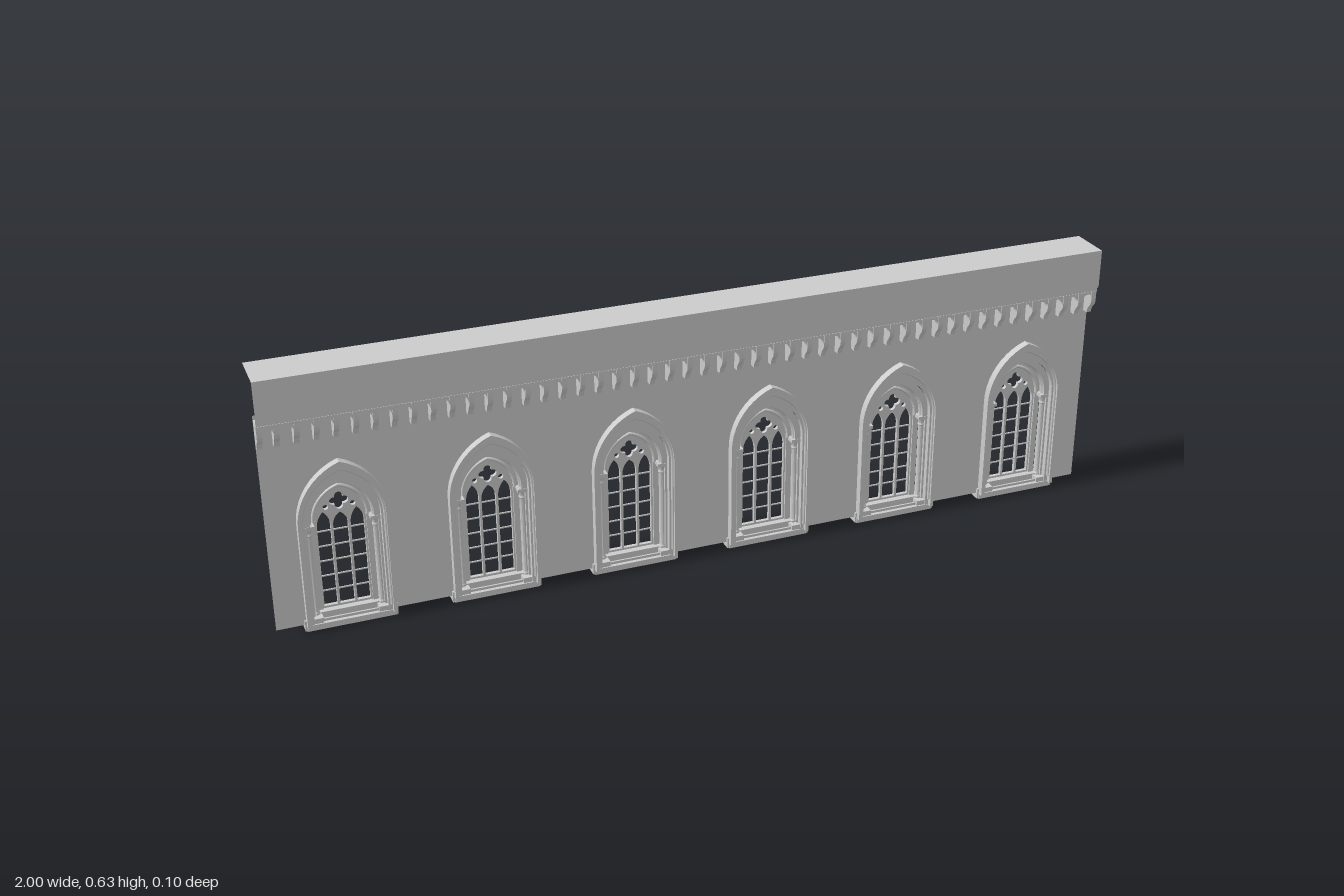
import * as THREE from 'three';
import { toCreasedNormals } from 'three/addons/utils/BufferGeometryUtils.js';

const stone = new THREE.MeshStandardMaterial({ color: 0xcccccc });
const sheet = new THREE.MeshStandardMaterial({ color: 0xcccccc, side: THREE.DoubleSide });

function add(parent, name, geometry, x = 0, y = 0, z = 0, material = stone) {
  const mesh = new THREE.Mesh(geometry, material);
  mesh.name = name;
  mesh.position.set(x, y, z);
  parent.add(mesh);
  return mesh;
}

// Points of a pointed arch with legs, from right foot over the peak to left foot
function archPoints(w, spring, peak, foot, cx = 0, n = 10) {
  const rise = peak - spring;
  const R = (rise * rise + w * w) / (2 * w);
  const end = Math.atan2(rise, R - w);
  const right = [[w, foot]];
  for (let i = 0; i <= n; i++) {
    const a = (end * i) / n;
    right.push([w - R + R * Math.cos(a), spring + R * Math.sin(a)]);
  }
  const left = right.slice(0, -1).reverse().map(([x, y]) => [-x, y]);
  return [...right, ...left].map(([x, y]) => new THREE.Vector2(x + cx, y));
}

function extrude(shape, zBack, zFront) {
  const g = new THREE.ExtrudeGeometry(shape, { depth: zFront - zBack, bevelEnabled: false, curveSegments: 6 });
  g.translate(0, 0, zBack);
  return toCreasedNormals(g, 0.6);
}

// Arched band between an outer and an inner [halfWidth, peak]
function archBand(outer, inner, spring, foot, zBack, zFront) {
  const points = [
    ...archPoints(outer[0], spring, outer[1], foot),
    ...archPoints(inner[0], spring, inner[1], foot).reverse(),
  ];
  return extrude(new THREE.Shape(points), zBack, zFront);
}

// Round moulding that follows an arch
function archRoll(w, peak, spring, foot, z, radius) {
  const path = new THREE.CurvePath();
  const pts = archPoints(w, spring, peak, foot).map((p) => new THREE.Vector3(p.x, p.y, z));
  for (let i = 1; i < pts.length; i++) path.add(new THREE.LineCurve3(pts[i - 1], pts[i]));
  return new THREE.TubeGeometry(path, 44, radius, 8, false);
}

function traceryShape() {
  const shape = new THREE.Shape(archPoints(0.062, 0.25, 0.336, 0.025));
  // Three lights
  for (const [x, w, peak] of [[-0.037, 0.015, 0.268], [0, 0.0165, 0.262], [0.037, 0.015, 0.268]]) {
    shape.holes.push(new THREE.Path(archPoints(w, 0.232, peak, 0.034, x, 6)));
  }
  // Four-lobed eye
  const eye = [];
  for (let i = 0; i < 48; i++) {
    const a = (i / 48) * Math.PI * 2;
    const r = 0.0125 + 0.0085 * Math.abs(Math.cos(2 * a));
    eye.push(new THREE.Vector2(r * Math.cos(a), 0.29 + r * Math.sin(a)));
  }
  shape.holes.push(new THREE.Path(eye));
  // Small side eyes
  for (const s of [-1, 1]) {
    shape.holes.push(new THREE.Path().absarc(s * 0.03, 0.278, 0.006, 0, Math.PI * 2));
  }
  return shape;
}

// Shaft with moulded base and capital
function columnGeometry(r) {
  const profile = [
    [0, 0.004], [1.5, 0.004], [1.5, 0.022], [1.2, 0.026], [1.3, 0.03], [1, 0.034], [1, 0.222],
    [1.25, 0.225], [1, 0.229], [1.15, 0.236], [1.55, 0.243], [1.55, 0.251], [0, 0.251],
  ].map(([k, y]) => new THREE.Vector2(k * r, y));
  return toCreasedNormals(new THREE.LatheGeometry(profile, 12), 0.6);
}

function createWindow() {
  const win = new THREE.Group();
  win.name = 'window';

  // Outer surround, stepped towards the opening
  add(win, 'outerSurround', archBand([0.1, 0.407], [0.092, 0.388], 0.265, 0.012, 0.005, 0.03));
  add(win, 'innerSurround', archBand([0.092, 0.388], [0.083, 0.362], 0.265, 0.012, 0.005, 0.019));
  add(win, 'surroundRoll', archRoll(0.091, 0.386, 0.265, 0.03, 0.021, 0.004));

  // Receding arch orders above the capitals
  add(win, 'middleOrder', archBand([0.086, 0.364], [0.07, 0.348], 0.255, 0.248, -0.025, 0.006));
  add(win, 'middleRoll', archRoll(0.072, 0.35, 0.255, 0.248, -0.006, 0.006));
  add(win, 'innerOrder', archBand([0.073, 0.347], [0.056, 0.325], 0.252, 0.248, -0.035, -0.016));
  add(win, 'innerRoll', archRoll(0.06, 0.33, 0.252, 0.248, -0.015, 0.004));

  // Jambs, columns and capital blocks
  for (const s of [-1, 1]) {
    add(win, 'jamb', new THREE.BoxGeometry(0.014, 0.23, 0.018), s * 0.063, 0.135, -0.023);
    add(win, 'jambBacking', new THREE.BoxGeometry(0.012, 0.24, 0.014), s * 0.084, 0.132, -0.001);
    add(win, 'frontColumn', columnGeometry(0.007), s * 0.074, 0, -0.006);
    add(win, 'backColumn', columnGeometry(0.007), s * 0.083, 0, -0.018);
    add(win, 'capitalBlock', new THREE.BoxGeometry(0.034, 0.008, 0.038), s * 0.078, 0.246, -0.012);
    add(win, 'plinth', new THREE.BoxGeometry(0.042, 0.026, 0.05), s * 0.083, 0.013, -0.008);
  }

  // Sill
  add(win, 'sill', new THREE.BoxGeometry(0.2, 0.014, 0.053), 0, 0.007, -0.0065);
  add(win, 'upperSill', new THREE.BoxGeometry(0.14, 0.016, 0.03), 0, 0.021, -0.018);

  // Tracery and glazing bars
  add(win, 'tracery', extrude(traceryShape(), -0.027, -0.018));
  for (let i = 1; i <= 5; i++) {
    add(win, 'glazingBar', new THREE.BoxGeometry(0.11, 0.003, 0.003), 0, 0.034 + i * 0.037, -0.0225);
  }
  return win;
}

function createCornice() {
  const cornice = new THREE.Group();
  cornice.name = 'cornice';
  const count = 48;
  const pitch = 2 / count;

  // Corbel side profile, drawn as (z, y)
  const profile = new THREE.Shape();
  profile.moveTo(0.014, 0.465);
  profile.lineTo(0.029, 0.465);
  profile.bezierCurveTo(0.032, 0.488, 0.044, 0.482, 0.045, 0.502);
  profile.lineTo(0.045, 0.525);
  profile.lineTo(0.014, 0.525);
  const corbel = new THREE.ExtrudeGeometry(profile, { depth: 0.012, bevelEnabled: false, curveSegments: 8 });
  corbel.translate(0, 0, -0.006);
  corbel.rotateY(-Math.PI / 2);
  const corbelGeometry = toCreasedNormals(corbel, 0.6);

  // Small arch between two corbels
  const h = pitch / 2;
  const bay = new THREE.Shape();
  bay.moveTo(-h, 0.526);
  bay.lineTo(-h, 0.503);
  bay.lineTo(-0.0145, 0.503);
  bay.absarc(0, 0.503, 0.0145, Math.PI, 0, true);
  bay.lineTo(h, 0.503);
  bay.lineTo(h, 0.526);
  const bayGeometry = extrude(bay, 0.03, 0.043);

  for (let i = 0; i < count; i++) {
    const x = -1 + (i + 0.5) * pitch;
    add(cornice, 'corbelArch', bayGeometry, x);
    if (i > 0) add(cornice, 'corbel', corbelGeometry, x - h);
  }
  for (const s of [-1, 1]) add(cornice, 'endCorbel', corbelGeometry, s * 0.994);

  // Ledge sheets above the corbels
  const ledge = new THREE.PlaneGeometry(2, 0.037).rotateX(-Math.PI / 2);
  add(cornice, 'soffit', ledge, 0, 0.526, 0.0295, sheet);
  add(cornice, 'ledgeFace', new THREE.PlaneGeometry(2, 0.012), 0, 0.532, 0.047, sheet);
  return cornice;
}

export function createModel() {
  const model = new THREE.Group();
  model.name = 'arcadeWall';
  const centres = [0, 1, 2, 3, 4, 5].map((i) => (i - 2.5) / 3);

  // Wall sheet pierced by the windows
  const wall = new THREE.Shape();
  wall.moveTo(-1, 0.014);
  wall.lineTo(1, 0.014);
  wall.lineTo(1, 0.536);
  wall.lineTo(-1, 0.536);
  for (const x of centres) {
    wall.holes.push(new THREE.Path(archPoints(0.094, 0.265, 0.392, 0.02, x)));
  }
  add(model, 'wall', new THREE.ShapeGeometry(wall), 0, 0, 0.011, sheet);

  // Windows
  const win = createWindow();
  for (const x of centres) {
    const copy = win.clone();
    copy.position.x = x;
    model.add(copy);
  }

  model.add(createCornice());

  // Parapet: front face and flat top
  add(model, 'parapetFront', new THREE.PlaneGeometry(2, 0.093), 0, 0.5835, 0.052, sheet);
  const top = new THREE.PlaneGeometry(2, 0.104).rotateX(-Math.PI / 2);
  add(model, 'parapetTop', top, 0, 0.63, 0, sheet);
  return model;
}
